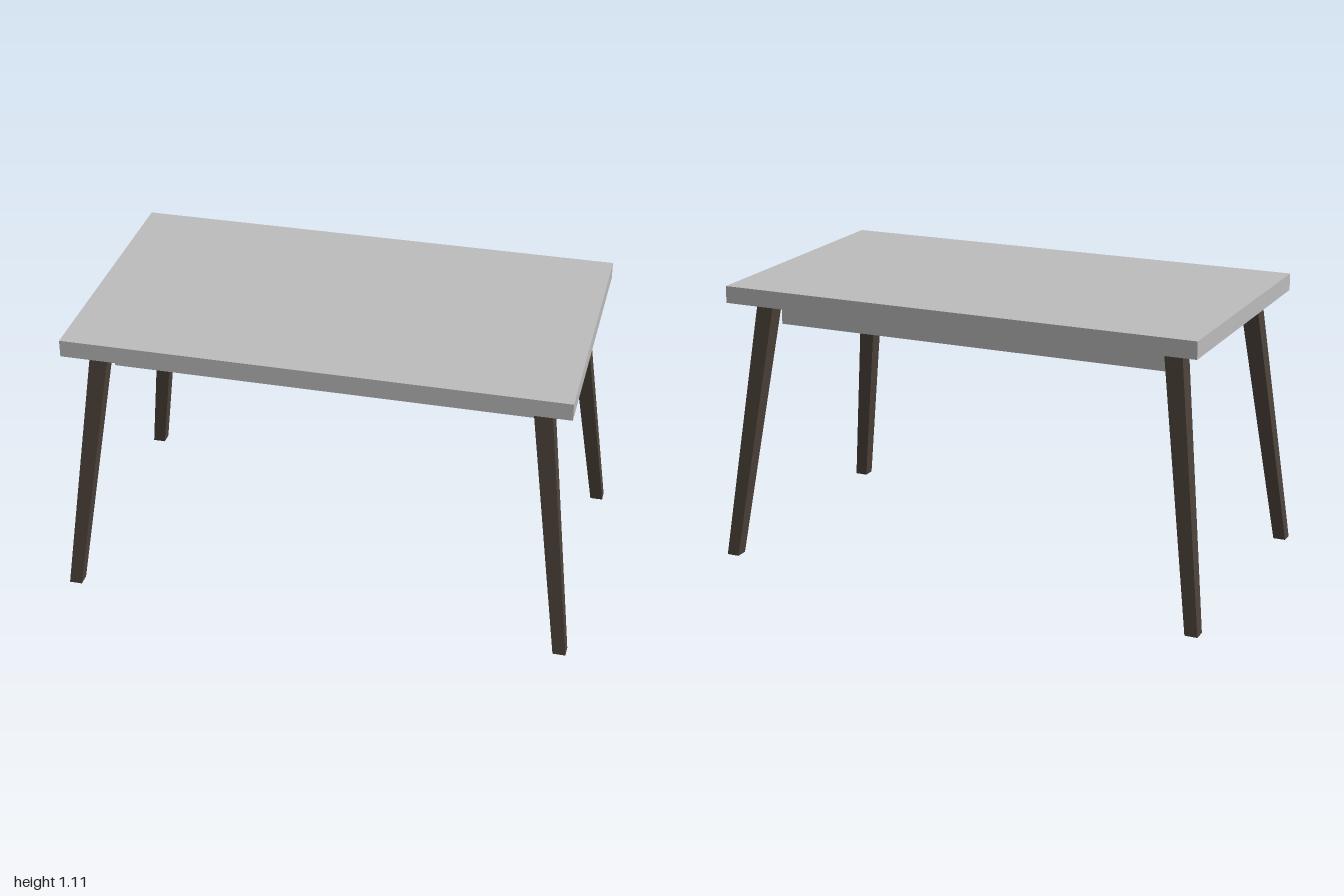
import * as THREE from 'three';

export function createModel() {
  const group = new THREE.Group();
  const greyTop = new THREE.MeshStandardMaterial({ color: 0xbcbcbc });
  greyTop.name = 'light grey';
  const darkWood = new THREE.MeshStandardMaterial({ color: 0x4c4239, flatShading: true });
  darkWood.name = 'dark wood';

  // Box spanning two heights, centred on x and z
  const slab = (name, width, depth, y0, y1) => {
    const mesh = new THREE.Mesh(new THREE.BoxGeometry(width, y1 - y0, depth), greyTop);
    mesh.position.y = (y0 + y1) / 2;
    mesh.name = name;
    group.add(mesh);
  };
  slab('tableTop', 1.926, 1.1, 1.045, 1.112);
  slab('apron', 1.612, 0.8, 0.942, 1.045);

  // Splayed leg: a square post, narrower at the foot and leaning outwards
  const legHeight = 1.045;
  const leg = (name, sx, sz) => {
    const geometry = new THREE.BoxGeometry(1, legHeight, 1);
    geometry.translate(0, legHeight / 2, 0);
    const p = geometry.attributes.position;
    for (let i = 0; i < p.count; i++) {
      const top = p.getY(i) > legHeight / 2;
      const size = top ? 0.07 : 0.05;
      p.setX(i, p.getX(i) * size + sx * (top ? 0.841 : 0.975));
      p.setZ(i, p.getZ(i) * size + sz * (top ? 0.426 : 0.54));
    }
    geometry.computeVertexNormals();
    const mesh = new THREE.Mesh(geometry, darkWood);
    mesh.name = name;
    group.add(mesh);
  };
  leg('frontLeftLeg', 1, 1);
  leg('frontRightLeg', -1, 1);
  leg('backLeftLeg', 1, -1);
  leg('backRightLeg', -1, -1);

  return group;
}
